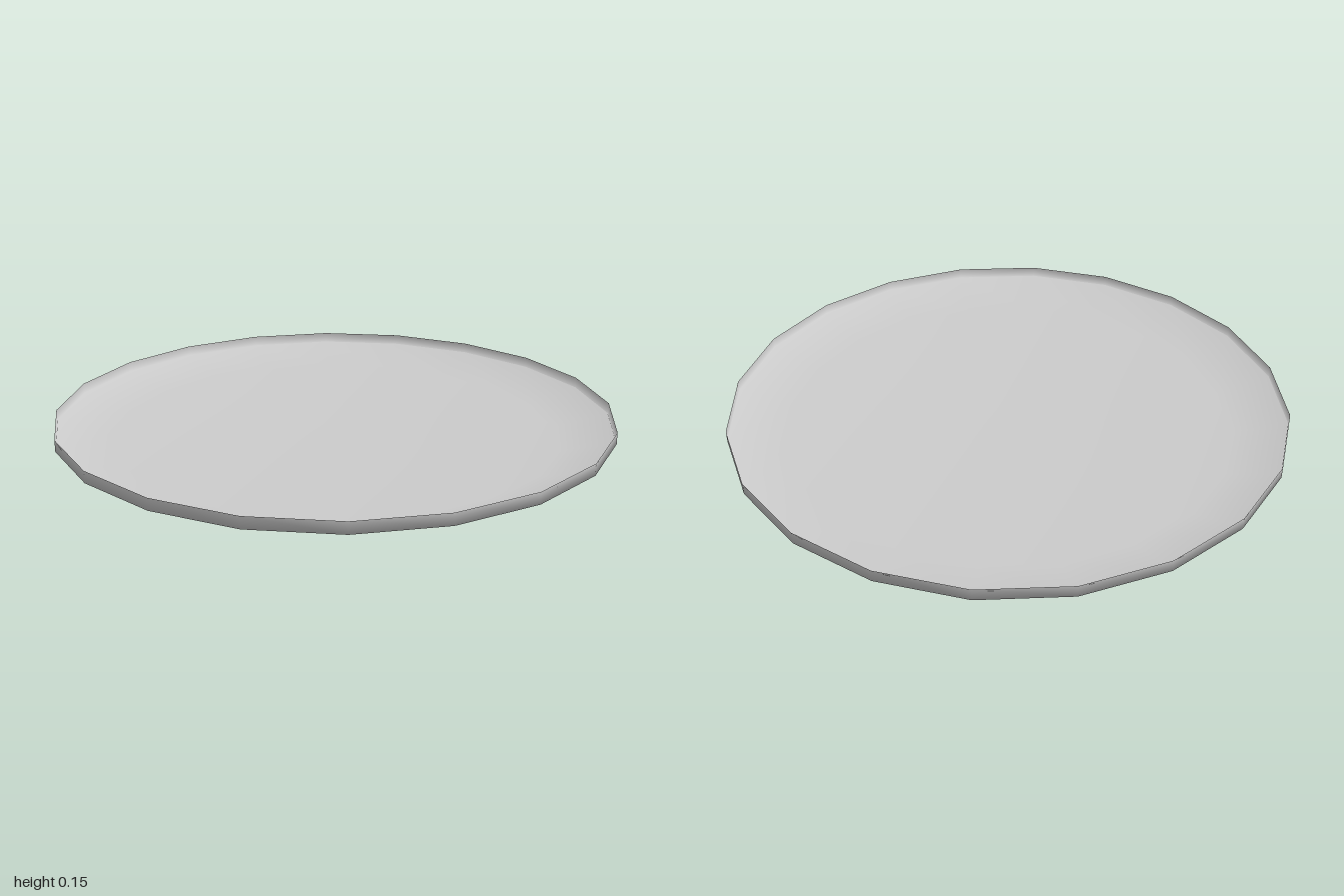
import * as THREE from 'three';

const SIDES = 20;

// Spin a profile of [radius, height] points into a smooth 20-sided surface
function turned(name, profile) {
  const points = profile.map(([r, y]) => new THREE.Vector2(r, y));
  const material = new THREE.MeshStandardMaterial({ color: 0xcccccc, side: THREE.DoubleSide });
  const mesh = new THREE.Mesh(new THREE.LatheGeometry(points, SIDES), material);
  mesh.name = name;
  return mesh;
}

export function createModel() {
  const plate = new THREE.Group();
  plate.name = 'plate';

  // Foot, underside, flared edge and thin upright rim
  plate.add(turned('undersideAndRim', [
    [0, 0], [0.44, 0], [0.51, 0.05], [0.8, 0.05], [1, 0.105], [1, 0.147],
  ]));

  // Flat eating surface with its sloped border, set inside the rim
  plate.add(turned('eatingSurface', [
    [0.999, 0.109], [0.8, 0.058], [0, 0.058],
  ]));

  return plate;
}
